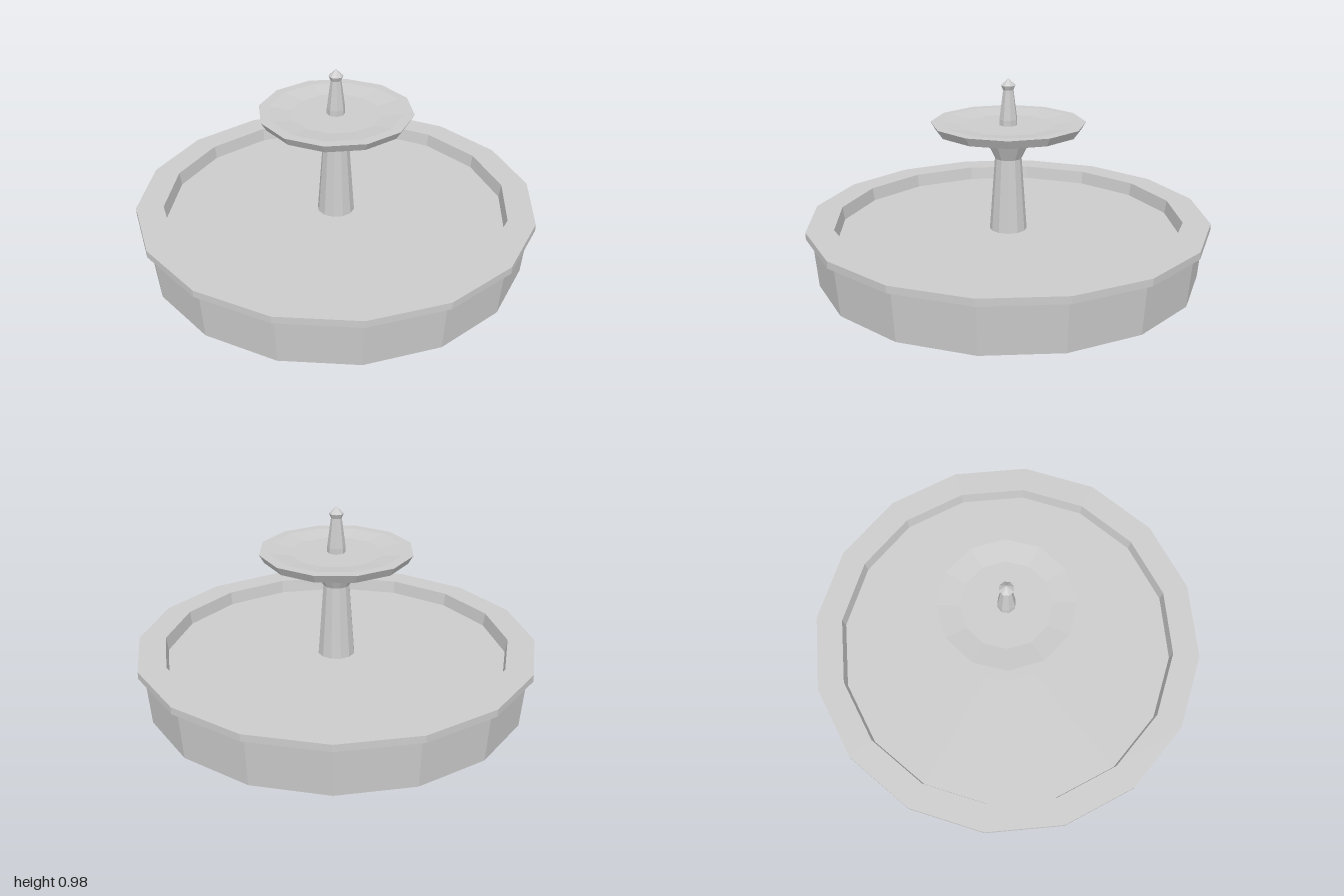
import * as THREE from 'three';

const stone = new THREE.MeshStandardMaterial({ color: 0xcccccc, flatShading: true });
stone.name = 'paleStone';

// Faceted turned part; the profile lists [radius, height] from the bottom, up the outside, then inwards
function turned(name, sides, profile) {
  const points = profile.map(([r, y]) => new THREE.Vector2(r, y));
  const geometry = new THREE.LatheGeometry(points, sides).toNonIndexed();
  geometry.computeVertexNormals();
  const mesh = new THREE.Mesh(geometry, stone);
  mesh.name = name;
  return mesh;
}

export function createModel() {
  const fountain = new THREE.Group();
  fountain.name = 'fountain';

  // Sixteen-sided pool with an overhanging rim and a shallow floor
  fountain.add(turned('basin', 16, [
    [0, 0], [0.95, 0], [0.97, 0.245], [1, 0.245], [1, 0.28],
    [0.865, 0.28], [0.855, 0.212], [0, 0.212],
  ]));

  // Tapered column
  fountain.add(turned('column', 12, [[0.093, 0.212], [0.066, 0.58]]));

  // Flared neck and upper dish
  fountain.add(turned('upperBowl', 12, [
    [0.066, 0.58], [0.1, 0.65], [0.355, 0.72], [0.38, 0.762],
    [0.33, 0.762], [0.22, 0.747], [0, 0.747],
  ]));

  // Pointed spout
  fountain.add(turned('finial', 8, [
    [0.045, 0.747], [0.045, 0.775], [0.026, 0.92], [0.036, 0.942], [0, 0.977],
  ]));

  return fountain;
}
